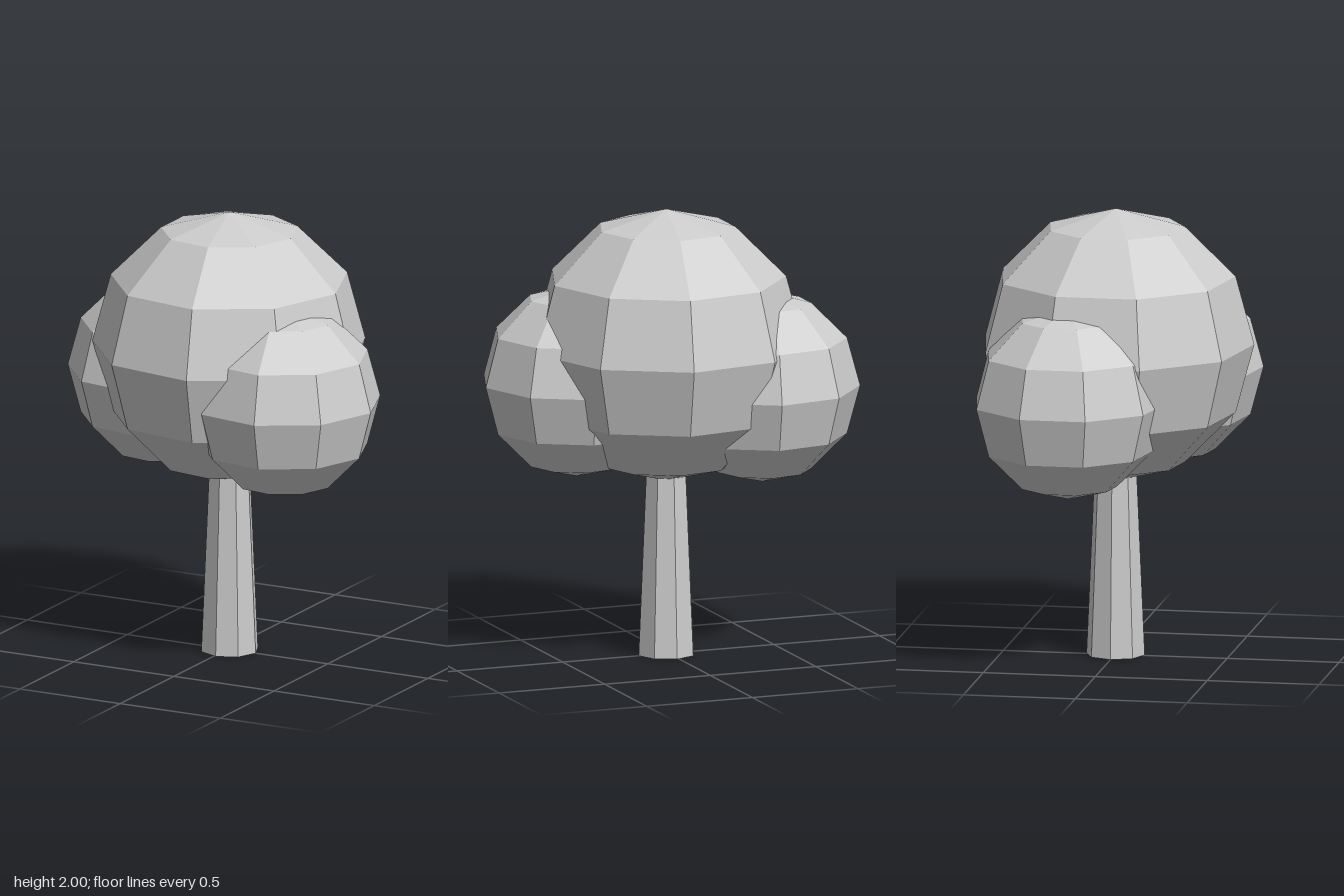
import * as THREE from 'three';

export function createModel() {
  const tree = new THREE.Group();
  tree.name = 'tree';

  const grey = new THREE.MeshStandardMaterial({ color: 0xcccccc, flatShading: true });
  grey.name = 'light grey';

  const add = (name, geometry, x, y, z) => {
    const mesh = new THREE.Mesh(geometry, grey);
    mesh.name = name;
    mesh.position.set(x, y, z);
    tree.add(mesh);
  };

  // Tapered eight-sided trunk, its top buried in the crown
  const trunkHeight = 1;
  add('trunk', new THREE.CylinderGeometry(0.086, 0.13, trunkHeight, 8), 0.01, trunkHeight / 2, 0);

  // Faceted foliage balls, each with a corner pointing to +x
  const foliage = (name, radius, x, y, z) =>
    add(name, new THREE.SphereGeometry(radius, 9, 6, Math.PI), x, y, z);

  foliage('mainCrown', 0.61, 0.01, 1.39, 0);
  foliage('leftFoliage', 0.43, 0.37, 1.225, 0.16);
  foliage('rightFoliage', 0.43, -0.39, 1.2, -0.14);

  return tree;
}
